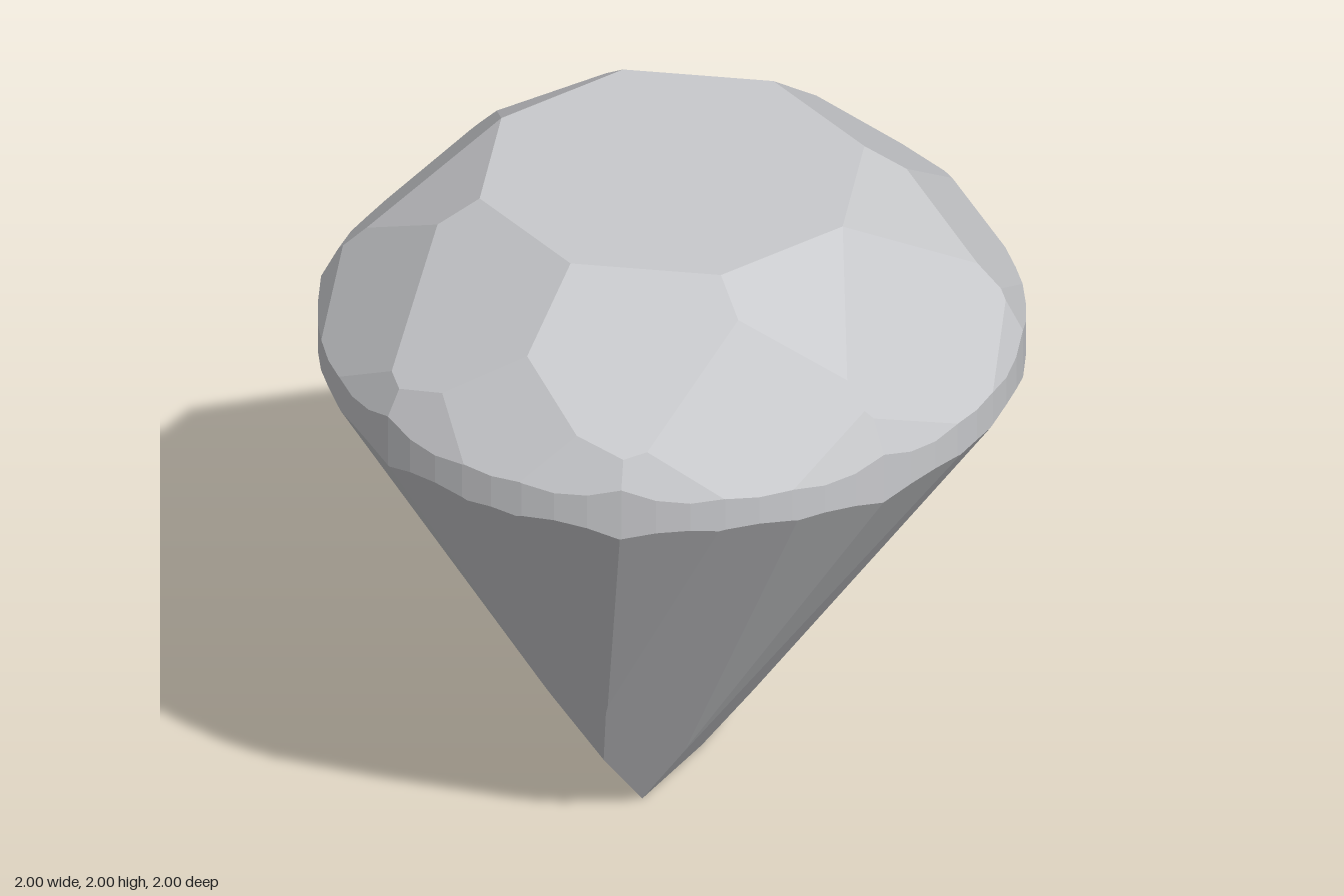
import * as THREE from 'three';

// Each facet plane is given by [angle from +x in degrees, slope, height at radius 1];
// every facet is mirrored in x and z.
const CROWN = {
  crownMainFacets: [[0, 1.068, 1.53], [45, 1.21, 1.528], [90, 1.45, 1.53]],
  starFacets: [[22.5, 0.70, 1.662], [67.5, 0.81, 1.609]],
  upperGirdleFacets: [11.25, 33.75, 56.25, 78.75].map(a => [a, 2.0, 1.525]),
};
const PAVILION = {
  pavilionMainFacets: [[0, 1.43, 1.43], [45, 1.63, 1.44], [90, 1.9, 1.428]],
  lowerGirdleFacets: [[11.25, 1.5, 1.435], [33.75, 1.6, 1.435], [56.25, 1.782, 1.435], [78.75, 1.943, 1.435]],
};
const GIRDLE_SIDES = 64;

// Plane with outward normal n; the stone lies where n.p <= d
function makePlane(part, x, y, z, d) {
  const n = new THREE.Vector3(x, y, z);
  const len = n.length();
  return { part, n: n.divideScalar(len), d: d / len };
}

function mirroredAngles(a) {
  return [...new Set([a, 180 - a, 180 + a, 360 - a].map(v => v % 360))];
}

function addFacets(planes, table, up) {
  for (const [part, list] of Object.entries(table)) {
    for (const [angle, slope, height] of list) {
      for (const deg of mirroredAngles(angle)) {
        const t = THREE.MathUtils.degToRad(deg);
        planes.push(makePlane(part, slope * Math.cos(t), up, slope * Math.sin(t), slope + up * height));
      }
    }
  }
}

// Keep the part of a polygon that lies behind a plane
function clip(poly, plane) {
  const out = [];
  poly.forEach((a, i) => {
    const b = poly[(i + 1) % poly.length];
    const da = plane.n.dot(a) - plane.d;
    const db = plane.n.dot(b) - plane.d;
    if (da <= 1e-9) out.push(a);
    if ((da > 1e-9) !== (db > 1e-9)) out.push(a.clone().lerp(b, da / (da - db)));
  });
  return out;
}

// Cut one flat facet out of a large square using all the other planes
function cutFacet(plane, planes) {
  const { n, d } = plane;
  const ref = Math.abs(n.y) > 0.9 ? new THREE.Vector3(1, 0, 0) : new THREE.Vector3(0, 1, 0);
  const u = new THREE.Vector3().crossVectors(ref, n).normalize();
  const v = new THREE.Vector3().crossVectors(n, u);
  let poly = [[-5, -5], [5, -5], [5, 5], [-5, 5]].map(([a, b]) =>
    n.clone().multiplyScalar(d).addScaledVector(u, a).addScaledVector(v, b));
  for (const other of planes) {
    if (other !== plane && poly.length) poly = clip(poly, other);
  }
  return poly;
}

export function createModel() {
  const gem = new THREE.Group();
  gem.name = 'cutGemstone';
  const stone = new THREE.MeshStandardMaterial({ color: 0xc8c9cc });
  stone.name = 'pale grey stone';

  // Table, crown, girdle and pavilion planes
  const planes = [makePlane('table', 0, 1, 0, 2)];
  addFacets(planes, CROWN, 1);
  for (let i = 0; i < GIRDLE_SIDES; i++) {
    const t = ((i + 0.5) / GIRDLE_SIDES) * Math.PI * 2;
    planes.push(makePlane('girdle', Math.cos(t), 0, Math.sin(t), Math.cos(Math.PI / GIRDLE_SIDES)));
  }
  addFacets(planes, PAVILION, -1);

  // Collect the facets of each part
  const parts = new Map();
  for (const plane of planes) {
    const poly = cutFacet(plane, planes);
    if (!parts.has(plane.part)) parts.set(plane.part, { position: [], normal: [] });
    const data = parts.get(plane.part);
    for (let i = 1; i + 1 < poly.length; i++) {
      for (const p of [poly[0], poly[i], poly[i + 1]]) {
        data.position.push(p.x, p.y, p.z);
        data.normal.push(plane.n.x, plane.n.y, plane.n.z);
      }
    }
  }

  // One mesh per kind of facet
  for (const [name, data] of parts) {
    const geometry = new THREE.BufferGeometry();
    geometry.setAttribute('position', new THREE.Float32BufferAttribute(data.position, 3));
    geometry.setAttribute('normal', new THREE.Float32BufferAttribute(data.normal, 3));
    const mesh = new THREE.Mesh(geometry, stone);
    mesh.name = name;
    gem.add(mesh);
  }
  return gem;
}
